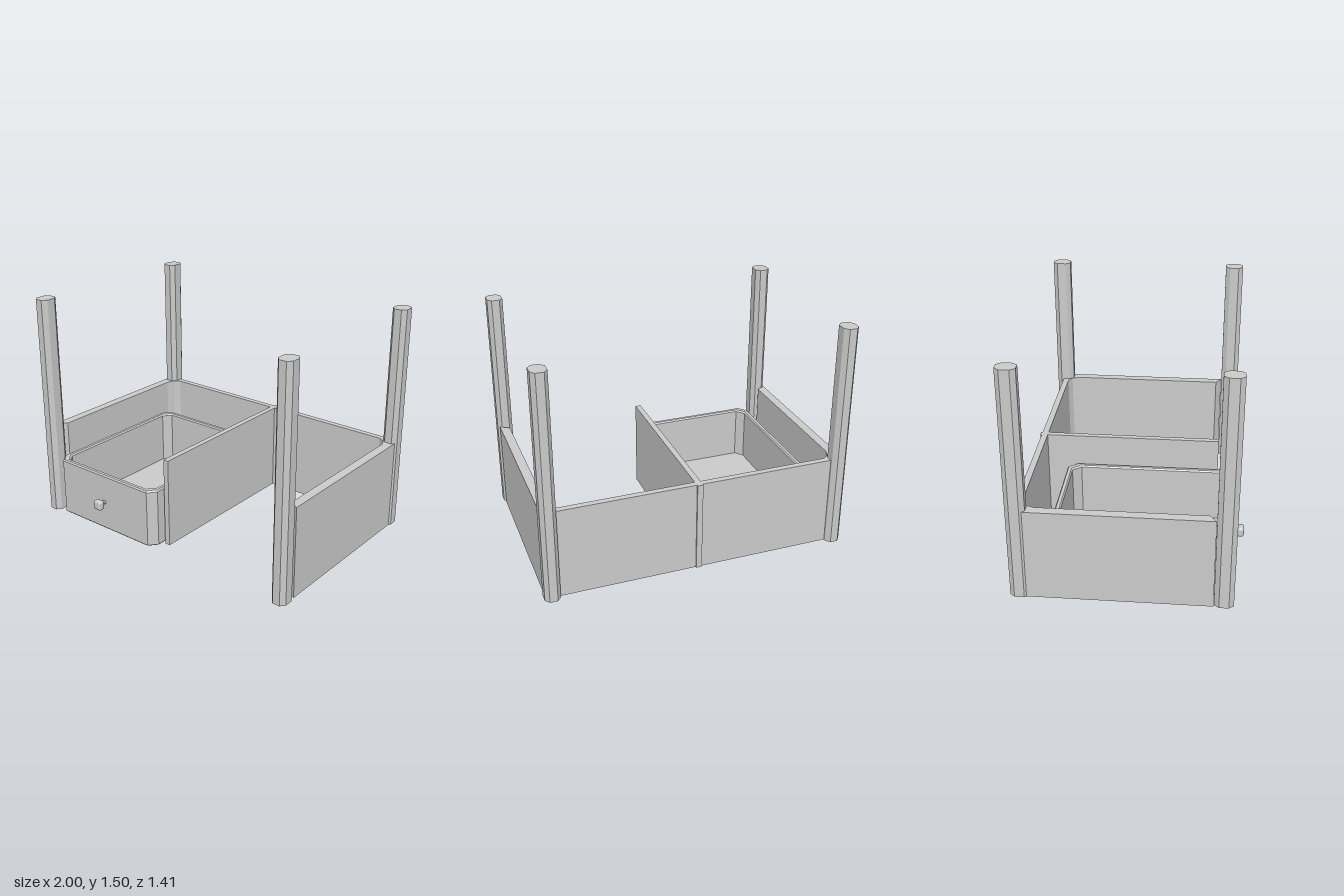
import * as THREE from 'three';
import { RoundedBoxGeometry } from 'three/addons/geometries/RoundedBoxGeometry.js';

const material = new THREE.MeshStandardMaterial({ color: 0xcccccc, flatShading: true });

// Upright prism from an outline of [x, z] points
function prism(points, y0, height) {
  const shape = new THREE.Shape(points.map(([x, z]) => new THREE.Vector2(x, -z)));
  const geo = new THREE.ExtrudeGeometry(shape, { depth: height, bevelEnabled: false });
  geo.rotateX(-Math.PI / 2);
  geo.translate(0, y0, 0);
  return geo;
}

// Rectangle outline with cut corners, half sizes w and d, cuts cx and cz
function cutRect(x, z, w, d, cx, cz) {
  return [
    [x + w, z - d + cz], [x + w, z + d - cz], [x + w - cx, z + d], [x - w + cx, z + d],
    [x - w, z + d - cz], [x - w, z - d + cz], [x - w + cx, z - d], [x + w - cx, z - d],
  ];
}

// Solid lofted through stacked outlines, closed at both ends
function loft(rings) {
  const n = rings[0].points.length;
  const pos = rings.flatMap(r => r.points.flatMap(([x, z]) => [x, r.y, z]));
  const index = [];
  for (let r = 0; r < rings.length - 1; r++) {
    for (let i = 0; i < n; i++) {
      const a = r * n + i, b = r * n + (i + 1) % n;
      index.push(a, a + n, b, b, a + n, b + n);
    }
  }
  const last = (rings.length - 1) * n;
  for (let i = 1; i < n - 1; i++) {
    index.push(0, i, i + 1);
    index.push(last, last + i + 1, last + i);
  }
  const geo = new THREE.BufferGeometry();
  geo.setAttribute('position', new THREE.Float32BufferAttribute(pos, 3));
  geo.setIndex(index);
  const flat = geo.toNonIndexed();
  flat.computeVertexNormals();
  return flat;
}

export function createModel() {
  const model = new THREE.Group();
  model.name = 'deskFrame';
  const add = (name, geo, parent = model) => {
    const mesh = new THREE.Mesh(geo, material);
    mesh.name = name;
    parent.add(mesh);
    return mesh;
  };

  // Four corner posts
  for (const [side, sx] of [['left', 1], ['right', -1]]) {
    for (const [end, z] of [['Front', 0.59], ['Back', -0.645]]) {
      add(side + end + 'Post', prism(cutRect(sx * 0.95, z, 0.05, 0.06, 0.025, 0.03), 0, 1.5));
    }
  }

  // Back and side panels in one U-shaped run, mirrored across x
  const outer = [[0.94, -0.66], [0.99, -0.61], [0.99, 0.527]];
  const inner = [[0.93, 0.49], [0.93, -0.54], [0.91, -0.595], [0.87, -0.62]];
  const half = [...outer, ...inner];
  const mirrored = half.map(([x, z]) => [-x, z]).reverse();
  add('backAndSidePanels', prism([...half, ...mirrored], 0, 0.6));

  // Middle divider
  const divider = add('divider', new THREE.BoxGeometry(0.037, 0.6, 1.195));
  divider.position.set(-0.002, 0.3, -0.073);

  // Open drawer: [inset, y] from the underside, over the rim, down to the floor
  const drawer = new THREE.Group();
  drawer.name = 'drawer';
  model.add(drawer);
  const profile = [
    [0.008, 0.003], [0, 0.012], [0, 0.39], [0.008, 0.4],
    [0.028, 0.4], [0.036, 0.39], [0.036, 0.035],
  ];
  add('drawerBox', loft(profile.map(([inset, y]) => ({
    y, points: cutRect(-0.46, 0.075, 0.427 - inset, 0.555 - inset, 0.045, 0.056),
  }))), drawer);

  // Knob
  const stem = new THREE.CylinderGeometry(0.015, 0.015, 0.05, 8);
  stem.rotateX(Math.PI / 2);
  add('knobStem', stem, drawer).position.set(-0.46, 0.203, 0.645);
  add('knobHead', new RoundedBoxGeometry(0.066, 0.066, 0.045, 2, 0.016), drawer)
    .position.set(-0.46, 0.203, 0.6825);

  return model;
}
